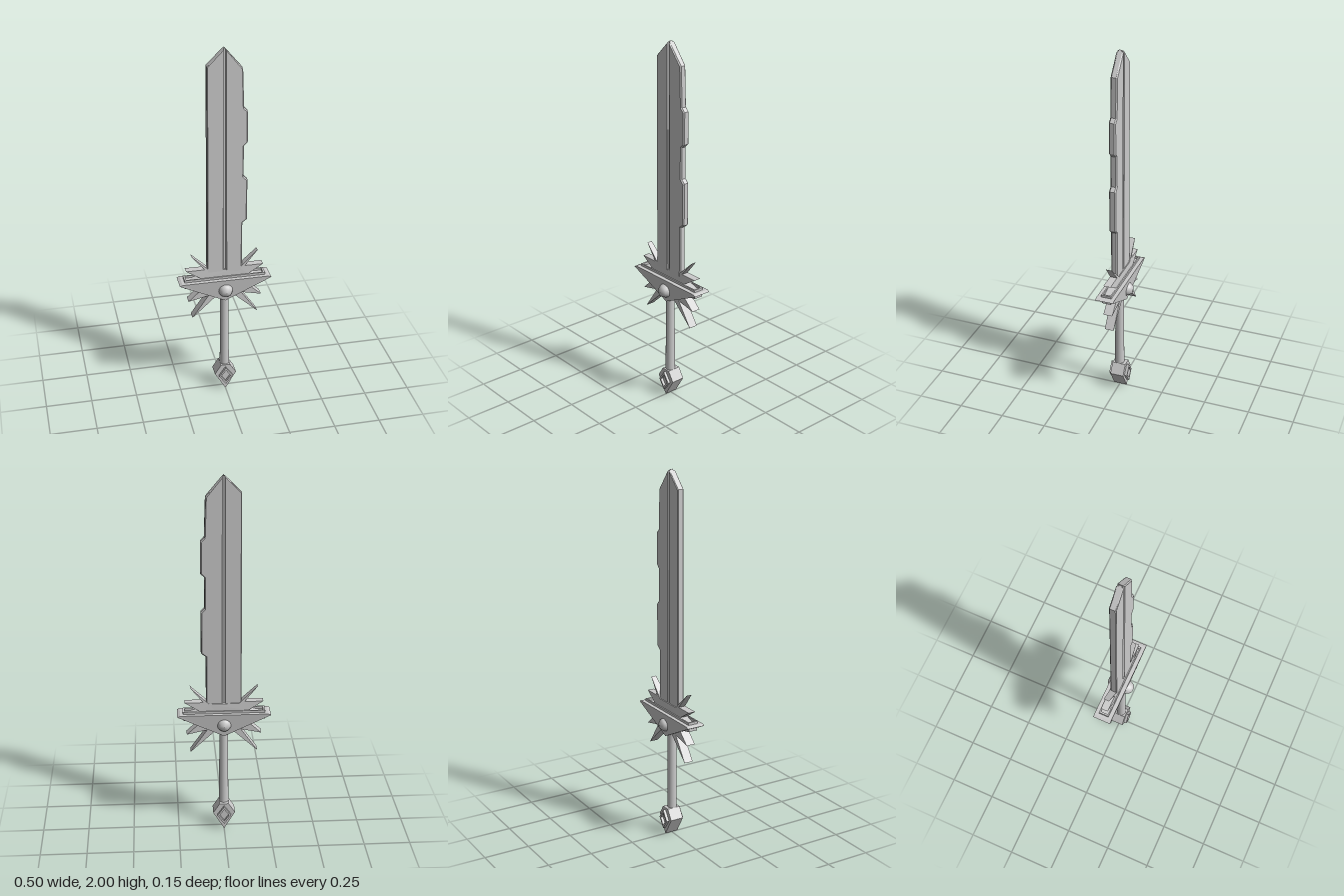
import * as THREE from 'three';

const mat = new THREE.MeshStandardMaterial({ color: 0xcccccc, flatShading: true });
const smooth = new THREE.MeshStandardMaterial({ color: 0xcccccc });

const shapeOf = (pts) => new THREE.Shape(pts.map(([x, y]) => new THREE.Vector2(x, y)));

// Extrudes an outline between z0 and z1, with an optional inward bevel
function slab(shape, z0, z1, bevel = 0) {
  const geo = new THREE.ExtrudeGeometry(shape, {
    depth: z1 - z0 - 2 * bevel, bevelEnabled: bevel > 0, bevelThickness: bevel,
    bevelSize: bevel, bevelOffset: -bevel, bevelSegments: 1,
  });
  return geo.translate(0, 0, z0 + bevel);
}

export function createModel() {
  const model = new THREE.Group();
  const add = (name, geo, material = mat) => {
    const mesh = new THREE.Mesh(geo, material);
    mesh.name = name;
    model.add(mesh);
    return mesh;
  };

  // Blade: plain half, toothed half, thin core at the bottom of the groove
  add('bladePlainHalf', slab(shapeOf([
    [-0.095, 0.68], [-0.005, 0.68], [-0.005, 1.995], [-0.09, 1.91],
  ]), -0.02, 0.016, 0.004));
  add('bladeToothedHalf', slab(shapeOf([
    [0.005, 0.68], [0.095, 0.68], [0.095, 1.03], [0.12, 1.05], [0.12, 1.28], [0.1, 1.3],
    [0.1, 1.47], [0.12, 1.49], [0.12, 1.66], [0.1, 1.68], [0.093, 1.89], [0.005, 1.995],
  ]), -0.02, 0.016, 0.006));
  add('bladeCore', slab(shapeOf([
    [-0.02, 0.68], [0.02, 0.68], [0.02, 1.97], [0, 2], [-0.02, 1.97],
  ]), -0.01, 0.006));

  // Burst of spikes behind the guard, outline mirrored left to right
  const side = [
    [0.05, 0.6], [0.18, 0.48], [0.09, 0.61], [0.2, 0.585], [0.13, 0.65], [0.22, 0.67],
    [0.22, 0.695], [0.13, 0.72], [0.21, 0.77], [0.11, 0.77], [0.18, 0.855], [0.08, 0.76],
  ];
  const burst = slab(shapeOf([...side, ...side.map(([x, y]) => [-x, y]).reverse()]), -0.03, 0.02);
  const b = burst.attributes.position;
  for (let i = 0; i < b.count; i++) {
    // Upper spikes thin out to the blade's thickness
    const t = THREE.MathUtils.clamp((b.getY(i) - 0.68) / 0.17, 0, 1);
    b.setZ(i, -0.004 + (b.getZ(i) + 0.004) * (1 - 0.4 * t));
  }
  burst.computeVertexNormals();
  add('spikeBurst', burst);

  // Guard: triangular block, thinner towards its lower point
  const guard = slab(shapeOf([[0, 0.575], [0.25, 0.7], [0.235, 0.707], [-0.235, 0.707], [-0.25, 0.7]]), -0.05, 0.05);
  const g = guard.attributes.position;
  for (let i = 0; i < g.count; i++) {
    const k = THREE.MathUtils.mapLinear(g.getY(i), 0.575, 0.7, 0.72, 1);
    g.setZ(i, -0.004 + g.getZ(i) * Math.min(k, 1));
  }
  guard.computeVertexNormals();
  add('guard', guard);

  // Raised rim around the blade socket
  const rect = (x, z) => [[-x, -z], [x, -z], [x, z], [-x, z]];
  const rim = shapeOf(rect(0.22, 0.028));
  rim.holes.push(shapeOf(rect(0.21, 0.021)));
  const rimMesh = add('guardRim', slab(rim, 0.7, 0.72));
  rimMesh.rotation.x = -Math.PI / 2;
  rimMesh.position.z = -0.005;

  // Domed studs on both faces of the guard
  const studProfile = [[0.042, 0.025], [0.037, 0.045], [0.03, 0.06], [0.02, 0.071], [0, 0.075]]
    .map(([r, h]) => new THREE.Vector2(r, h));
  for (const s of [1, -1]) {
    const stud = add(s > 0 ? 'frontStud' : 'backStud', new THREE.LatheGeometry(studProfile, 20), smooth);
    stud.rotation.x = s * Math.PI / 2;
    stud.position.y = 0.643;
  }

  // Grip
  add('grip', new THREE.CylinderGeometry(0.023, 0.026, 0.48, 16).translate(0, 0.38, 0.002), smooth);

  // Pommel with a raised diamond frame on each face
  add('pommel', slab(shapeOf([
    [0, 0], [0.06, 0.1], [0.025, 0.155], [-0.025, 0.155], [-0.06, 0.1],
  ]), -0.04, 0.035));
  const diamond = (w, h) => [[0, 0.09 - h], [w, 0.09], [0, 0.09 + h], [-w, 0.09]];
  const frame = shapeOf(diamond(0.038, 0.054));
  frame.holes.push(shapeOf(diamond(0.026, 0.037)));
  add('frontPommelFrame', slab(frame, 0.03, 0.05));
  add('backPommelFrame', slab(frame, -0.055, -0.035));

  return model;
}
